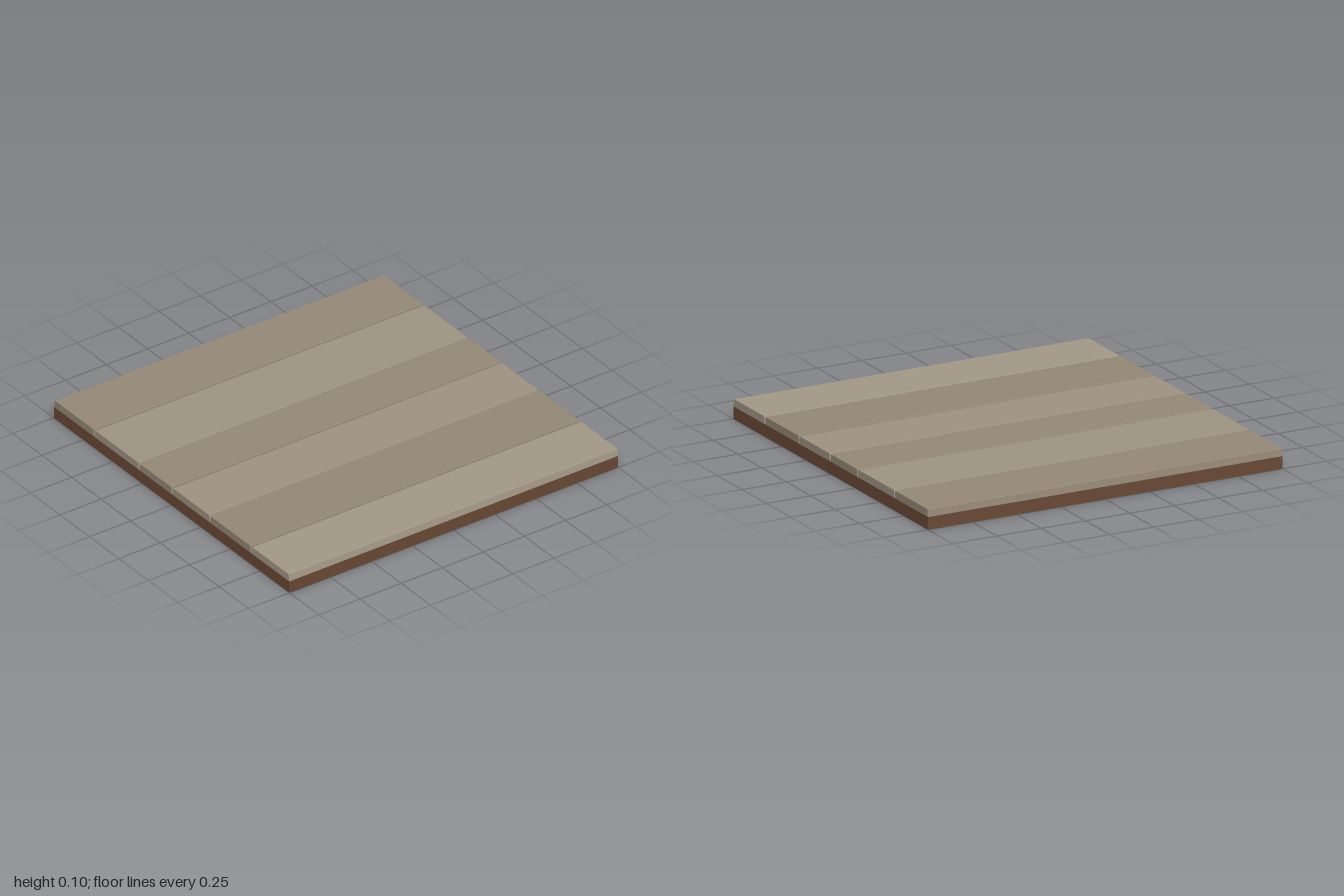
import * as THREE from 'three';

const BASE_TOP = 0.065;
const TOP = 0.105;

// Plank with sides that lean in slightly towards the top, running along x
function makePlank(z0, z1, color) {
  const foot = 0.003, lean = 0.008;
  const s = new THREE.Shape();
  // shape x becomes -z after the turn
  s.moveTo(-z1 + foot, BASE_TOP);
  s.lineTo(-z0 - foot, BASE_TOP);
  s.lineTo(-z0 - lean, TOP - 0.003);
  s.lineTo(-z0 - lean - 0.002, TOP);
  s.lineTo(-z1 + lean + 0.002, TOP);
  s.lineTo(-z1 + lean, TOP - 0.003);
  s.closePath();
  const geo = new THREE.ExtrudeGeometry(s, { depth: 2, bevelEnabled: false });
  geo.translate(0, 0, -1);
  geo.rotateY(Math.PI / 2);
  return new THREE.Mesh(geo, new THREE.MeshStandardMaterial({ color }));
}

export function createModel() {
  const group = new THREE.Group();
  group.name = 'plankFloor';

  // Solid slab under the planks
  const base = new THREE.Mesh(
    new THREE.BoxGeometry(2, BASE_TOP, 2),
    new THREE.MeshStandardMaterial({ color: 0x6b4a36 })
  );
  base.position.y = BASE_TOP / 2;
  base.name = 'base';
  group.add(base);

  // Planks of uneven width, back to front
  const seams = [-1, -0.655, -0.275, 0.005, 0.325, 0.675, 1];
  const colors = [0x978b78, 0xa09583, 0x978b77, 0xa09482, 0x968a76, 0xa59a89];
  colors.forEach((color, i) => {
    const plank = makePlank(seams[i], seams[i + 1], color);
    plank.name = 'plank' + (i + 1);
    group.add(plank);
  });

  return group;
}
